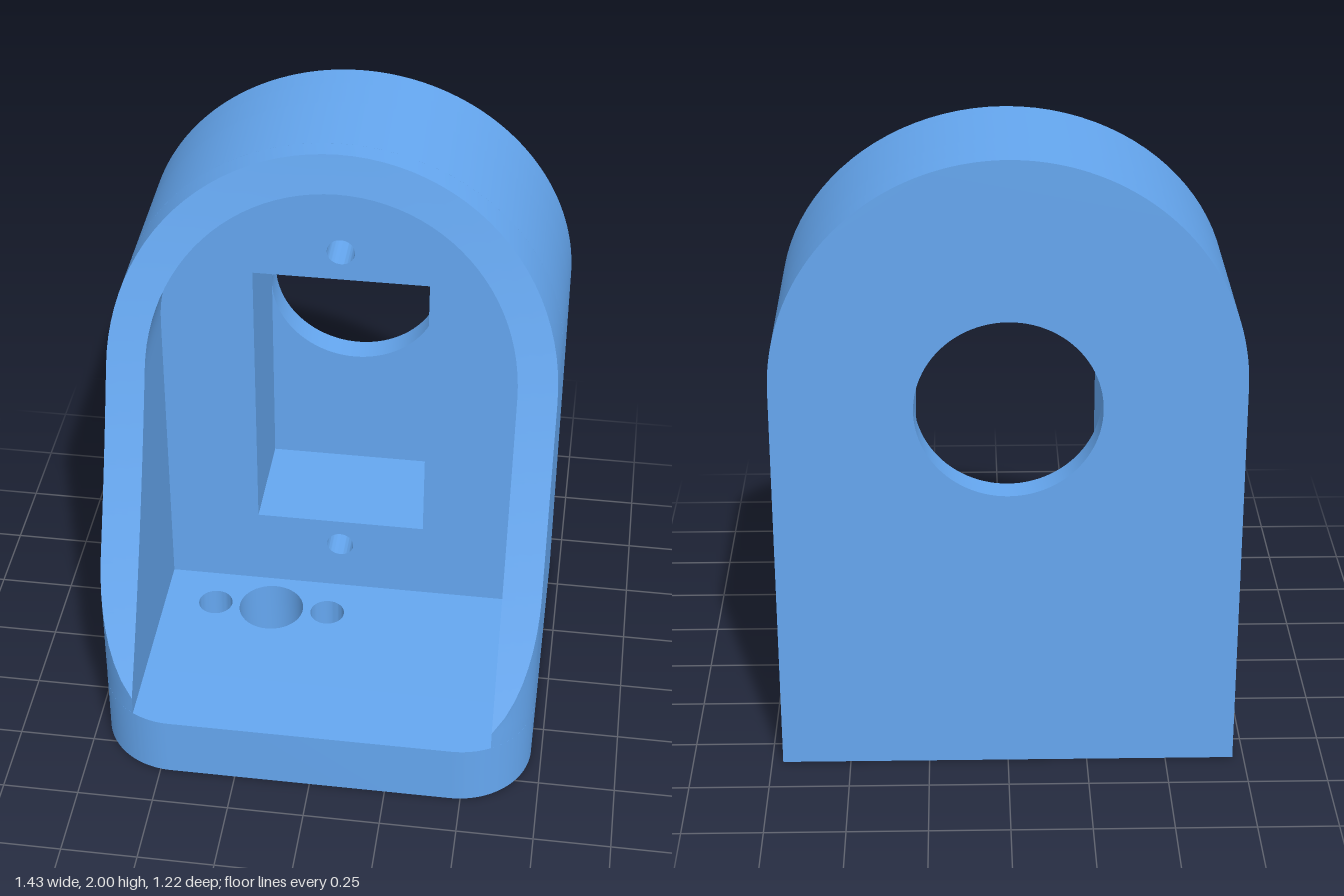
import * as THREE from 'three';
import { toCreasedNormals } from 'three/addons/utils/BufferGeometryUtils.js';

const R = 0.715, RI = 0.59;          // outer and inner half width
const ARCH_Y = 1.285, FLOOR = 0.215; // arch centre height, floor thickness
const Z = 0.608, WALL_Z = -0.15;     // half depth, front of the back block
const CR = 0.25;                     // front corner radius
const ARC = 48;                      // segments over the arch

const material = new THREE.MeshStandardMaterial({ color: 0x65a7f0 });

function addMesh(group, name, geometry) {
  const mesh = new THREE.Mesh(toCreasedNormals(geometry, 0.5), material);
  mesh.name = name;
  group.add(mesh);
}

function circle(x, y, r) {
  return new THREE.Path().absarc(x, y, r, 0, Math.PI * 2, true);
}

function rect(x0, y0, x1, y1) {
  return new THREE.Path([[x0, y0], [x0, y1], [x1, y1], [x1, y0]].map((p) => new THREE.Vector2(...p)));
}

// Arched plate between two depths, with holes
function archPlate(z0, z1, holes) {
  const s = new THREE.Shape();
  s.moveTo(-R, FLOOR);
  s.lineTo(R, FLOOR);
  s.lineTo(R, ARCH_Y);
  s.absarc(0, ARCH_Y, R, 0, Math.PI, false);
  s.closePath();
  s.holes.push(...holes);
  return new THREE.ExtrudeGeometry(s, { depth: z1 - z0, bevelEnabled: false, curveSegments: ARC }).translate(0, 0, z0);
}

// Floor slab with rounded front corners and three through holes
function floorSlab() {
  const s = new THREE.Shape();
  s.moveTo(R, Z);
  s.lineTo(-R, Z);
  s.lineTo(-R, -Z + CR);
  s.absarc(-R + CR, -Z + CR, CR, Math.PI, Math.PI * 1.5, false);
  s.lineTo(R - CR, -Z);
  s.absarc(R - CR, -Z + CR, CR, -Math.PI / 2, 0, false);
  s.closePath();
  s.holes.push(circle(-0.22, 0, 0.11), circle(-0.415, 0, 0.058), circle(-0.025, 0, 0.058));
  return new THREE.ExtrudeGeometry(s, { depth: FLOOR, bevelEnabled: false, curveSegments: 24 }).rotateX(-Math.PI / 2);
}

// Sweeping front edge of the side walls: depth as a function of height
function frontCurve(y) {
  const t = (y - 0.28) / 1.72;
  return 0.575 - 0.66 * t - 0.312 * t * (1 - t);
}

// Hood wall: cross-sections swept up one side, over the arch and down the other
function hoodWall() {
  const heights = [FLOOR, 0.28];
  for (let i = 1; i <= 20; i++) heights.push(0.28 + (ARCH_Y - 0.28) * i / 20);
  const stations = heights.map((y) => (d) => [d, y]);
  for (let i = 1; i < ARC; i++) {
    const a = Math.PI * i / ARC;
    stations.push((d) => [d * Math.cos(a), ARCH_Y + d * Math.sin(a)]);
  }
  heights.reverse().forEach((y) => stations.push((d) => [-d, y]));

  const cz = Z - CR, maxPhi = Math.acos((RI - R + CR) / CR);
  const sections = stations.map((at) => {
    const point = (d, limit) => {
      const [x, y] = at(d);
      return new THREE.Vector3(x, y, Math.min(limit, frontCurve(y)));
    };
    const rise = THREE.MathUtils.clamp((frontCurve(at(R)[1]) - cz) / CR, 0, 1);
    const phi = Math.min(Math.asin(rise), maxPhi);
    const pts = [point(R, WALL_Z)];
    // rounded outer corner up to where the curve cuts it
    for (let k = 0; k <= 10; k++) {
      const a = phi * k / 10;
      pts.push(point(R - CR + CR * Math.cos(a), cz + CR * Math.sin(a)));
    }
    // front rim across the wall thickness
    const rim = R - CR + CR * Math.cos(phi);
    const top = phi > 0 ? cz + CR * Math.sin(phi) : Infinity;
    for (let k = 1; k <= 3; k++) pts.push(point(THREE.MathUtils.lerp(rim, RI, k / 3), top));
    pts.push(point(RI, WALL_Z));
    return pts;
  });

  const positions = [];
  const tri = (a, b, c) => {
    if (new THREE.Triangle(a, b, c).getArea() < 1e-9) return;
    for (const p of [a, b, c]) positions.push(p.x, p.y, p.z);
  };
  for (let i = 0; i < sections.length - 1; i++) {
    const p = sections[i], q = sections[i + 1];
    for (let j = 0; j < p.length - 1; j++) {
      tri(p[j], q[j], p[j + 1]);
      tri(q[j], q[j + 1], p[j + 1]);
    }
  }
  const g = new THREE.BufferGeometry();
  g.setAttribute('position', new THREE.Float32BufferAttribute(positions, 3));
  g.computeVertexNormals();
  return g;
}

export function createModel() {
  const group = new THREE.Group();
  group.name = 'archedHousing';
  const pocket = () => rect(-0.284, 0.5, 0.284, 1.502);
  const screws = [circle(0, 1.605, 0.045), circle(0, 0.4, 0.045)];

  addMesh(group, 'floor', floorSlab());
  // Back block in layers: round opening, pocket, pocket with blind screw holes
  addMesh(group, 'backPlate', archPlate(-Z, -0.52, [circle(0, 1.218, 0.284)]));
  addMesh(group, 'pocketBlock', archPlate(-0.52, -0.4, [pocket()]));
  addMesh(group, 'screwBlock', archPlate(-0.4, WALL_Z, [pocket(), ...screws]));
  addMesh(group, 'hoodWall', hoodWall());
  return group;
}
